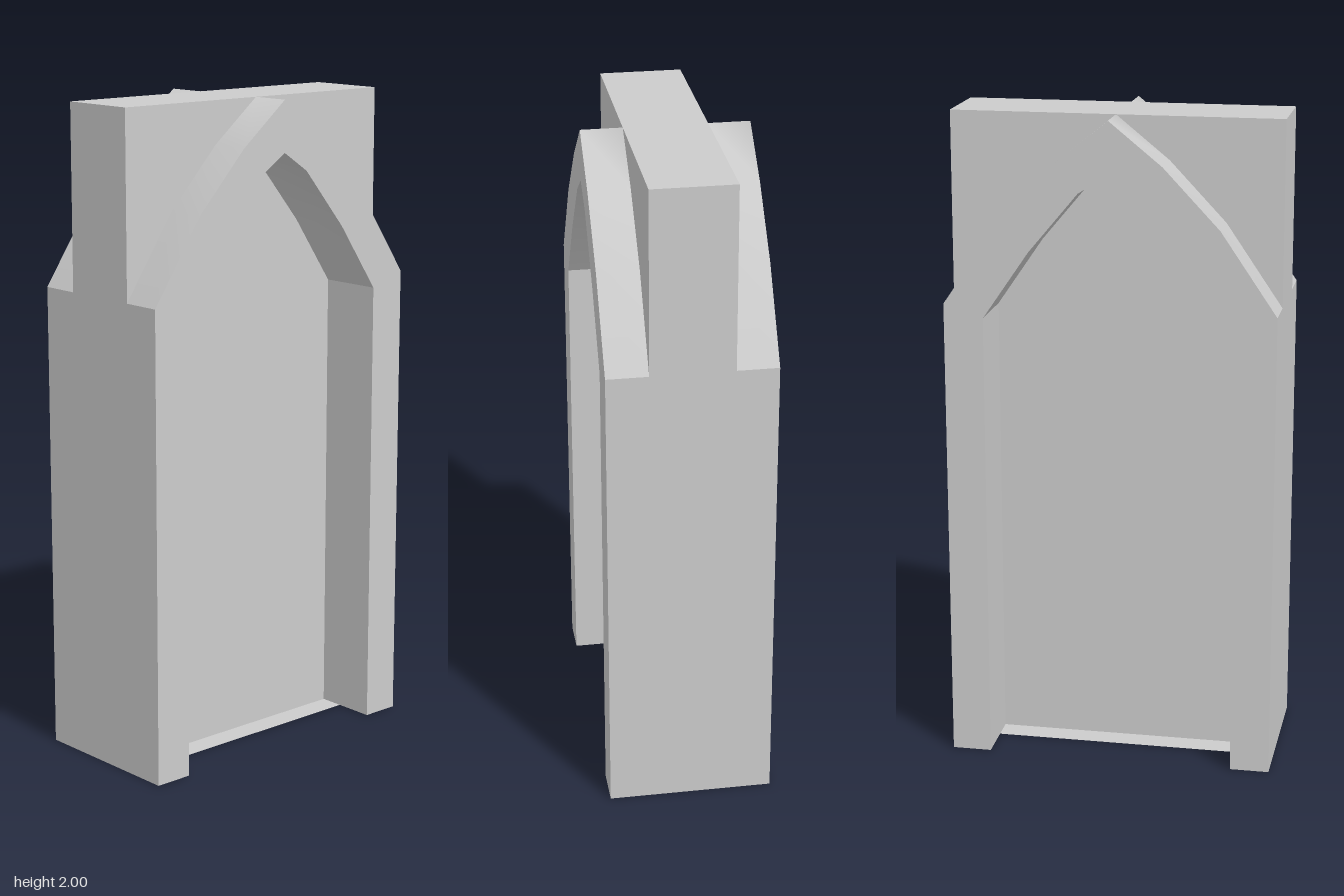
import * as THREE from 'three';
import { toCreasedNormals } from 'three/addons/utils/BufferGeometryUtils.js';

const material = new THREE.MeshStandardMaterial({ color: 0xcccccc, side: THREE.DoubleSide });

// Half thicknesses in x: outer arch frame, central wall, recessed panel
const FRAME = 0.25, WALL = 0.125, PANEL = 0.05;

// Pointed arch curves as [z, y], one side up to the apex
const outerSide = [[0.5, 1.44], [0.33, 1.69], [0.16, 1.87], [0, 2]];
const innerSide = [[0.38, 0], [0.38, 1.4], [0.24, 1.605], [0.09, 1.785], [0, 1.845]];

const flip = ([z, y]) => [-z, y];
const bothSides = (side) => [...side, ...side.slice(0, -1).reverse().map(flip)];
const outer = bothSides(outerSide); // runs from +z to -z
const inner = bothSides(innerSide);

function mesh(name, geometry) {
  const m = new THREE.Mesh(geometry, material);
  m.name = name;
  return m;
}

function flatShape(points) {
  return new THREE.ShapeGeometry(new THREE.Shape(points.map(([a, b]) => new THREE.Vector2(a, b))));
}

// Flat outline in the z-y plane, facing +x
function sideFace(name, points, x) {
  return mesh(name, flatShape(points.map(flip)).rotateY(Math.PI / 2).translate(x, 0, 0));
}

// Strip that follows [z, y] points, spanning x0 to x1
function ribbon(name, points, x0, x1, crease) {
  const position = [], index = [];
  points.forEach(([z, y], i) => {
    position.push(x0, y, z, x1, y, z);
    if (i) {
      const a = 2 * i - 2;
      index.push(a, a + 1, a + 2, a + 1, a + 3, a + 2);
    }
  });
  const g = new THREE.BufferGeometry();
  g.setAttribute('position', new THREE.Float32BufferAttribute(position, 3));
  g.setIndex(index);
  g.computeVertexNormals();
  return mesh(name, crease ? toCreasedNormals(g, crease) : g);
}

function createHalf() {
  const half = new THREE.Group();

  // Arch frame face with its opening, and the rounded top of the frame
  half.add(sideFace('archFrame', [[0.5, 0], ...outer, [-0.5, 0], ...[...inner].reverse()], FRAME));
  half.add(ribbon('archTop', outer, WALL, FRAME));

  // Recess: inner sides, back panel and thin sill
  half.add(ribbon('recessSides', [...inner].reverse(), PANEL, FRAME, 0.5));
  half.add(sideFace('recessPanel', inner, PANEL));
  half.add(ribbon('sill', [[0.38, 0], [-0.38, 0]], PANEL, WALL));

  // Central wall showing above the arch
  const corner = [...outerSide, [0.5, 2]];
  half.add(sideFace('upperWallFront', corner, WALL));
  half.add(sideFace('upperWallBack', corner.map(flip), WALL));
  half.add(ribbon('wallTop', [[0.5, 2], [-0.5, 2]], 0, WALL));

  // Narrow end, stepping in above the arch springing
  const end = [[-FRAME, 0], [FRAME, 0], [FRAME, 1.44], [WALL, 1.44], [WALL, 2],
    [-WALL, 2], [-WALL, 1.44], [-FRAME, 1.44]];
  half.add(mesh('endWall', flatShape(end).translate(0, 0, 0.5)));
  return half;
}

export function createModel() {
  const model = new THREE.Group();
  model.name = 'archedWall';
  ['leftHalf', 'rightHalf'].forEach((name, i) => {
    const half = createHalf();
    half.name = name;
    half.rotation.y = i * Math.PI;
    model.add(half);
  });
  return model;
}
